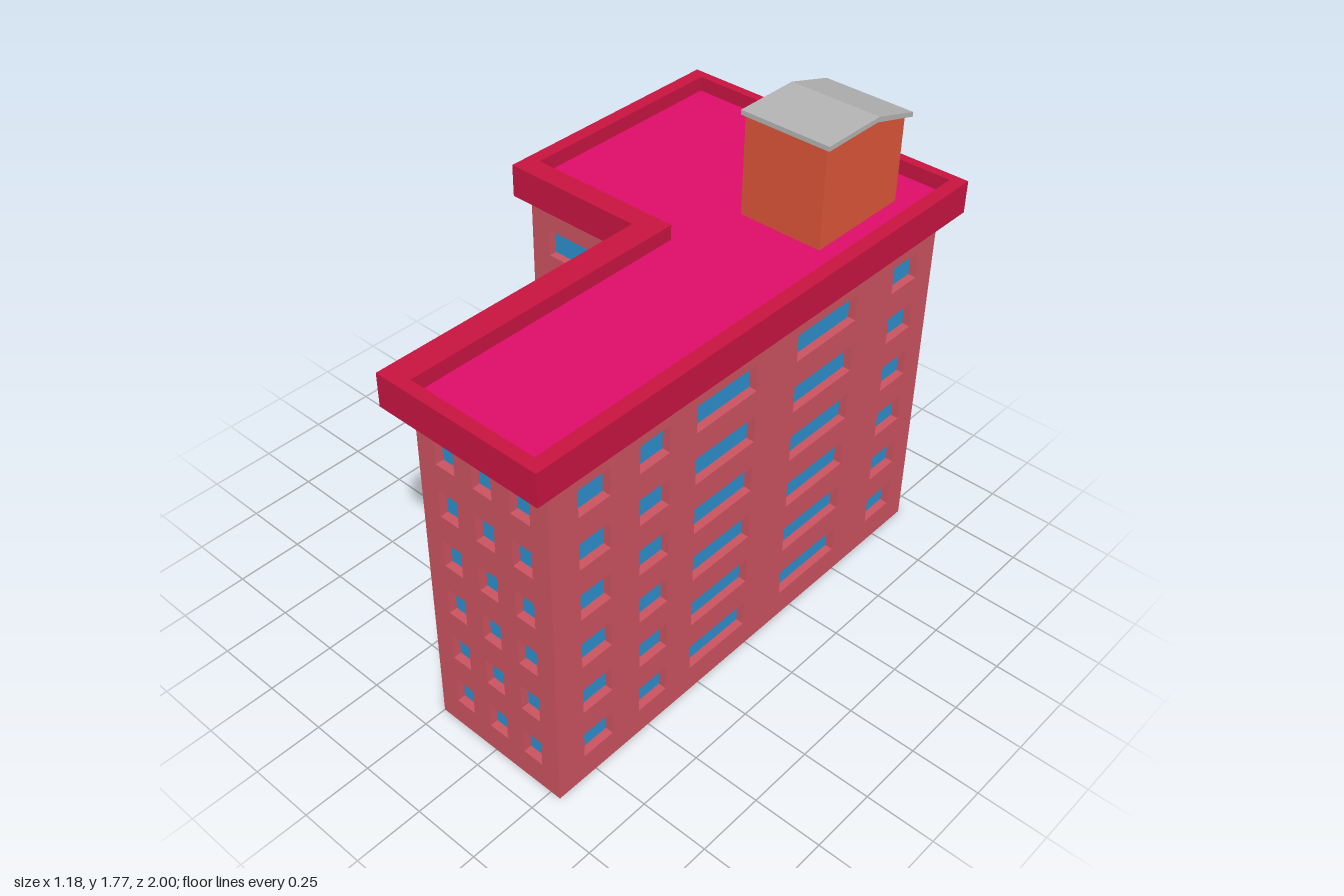
import * as THREE from 'three';

const mat = (color, side = THREE.FrontSide) =>
  new THREE.MeshStandardMaterial({ color, side, flatShading: true });
const brick = mat(0xcb5360), brickBoth = mat(0xcb5360, THREE.DoubleSide);
const glass = mat(0x2c8fcc), trim = mat(0xc81441), roofing = mat(0xde0c69);
const orange = mat(0xdc5538), grey = mat(0xb4b4b4);

const INSET = 0.03, WALL_H = 1.32, ROOF_Y = 1.385;
const X = 0.54, ZB = -0.92, ZF = 0.915, ZN = -0.09; // body extents, ZN = inner corner
const ENTRY = { a: 0.02, b: 0.3, depth: 0.456, h: 0.28 };

const shapeOf = (pts) => new THREE.Shape(pts.map(([x, y]) => new THREE.Vector2(x, y)));
const rect = (a, b, c, d) => [[a, c], [b, c], [b, d], [a, d]];

function add(parent, name, geometry, material, x = 0, y = 0, z = 0) {
  const mesh = new THREE.Mesh(geometry, material);
  mesh.name = name;
  mesh.position.set(x, y, z);
  parent.add(mesh);
  return mesh;
}

const extrude = (shape, depth) => new THREE.ExtrudeGeometry(shape, { depth, bevelEnabled: false });

// L-shaped plan with inner corner (nx, nz), as points (x, -z)
const plan = (x, zb, zf, nx, nz) =>
  [[-x, -zb], [-x, -nz], [nx, -nz], [nx, -zf], [x, -zf], [x, -zb]];
const upward = (shape, h) => extrude(shape, h).rotateX(-Math.PI / 2);
// Profile of (-z, y) points swept along +x
const alongX = (shape, w) => extrude(shape, w).rotateY(Math.PI / 2);

// Wall from a to b with six floors of inset windows in the given columns
function wall(parent, name, a, b, columns, turn, pos, door) {
  const g = new THREE.Group();
  g.name = name;
  const outline = door
    ? [[a, 0], [door.a, 0], [door.a, door.h], [door.b, door.h], [door.b, 0], [b, 0], [b, WALL_H], [a, WALL_H]]
    : rect(a, b, 0, WALL_H);
  const shape = shapeOf(outline);
  for (const [l, r] of columns) {
    for (let floor = 0; floor < 6; floor++) {
      const y = 0.103 + floor * 0.2035, h = 0.103;
      if (door && y < door.h && l < door.b && r > door.a) continue;
      shape.holes.push(new THREE.Path(rect(l, r, y, y + h).map((p) => new THREE.Vector2(...p))));
      add(g, 'windowPane', new THREE.PlaneGeometry(r - l, h), glass, (l + r) / 2, y + h / 2, -INSET);
    }
  }
  add(g, 'wallPanel', extrude(shape, INSET), brick, 0, 0, -INSET);
  g.rotation.y = turn;
  g.position.set(...pos);
  parent.add(g);
}

function entrance(parent) {
  const { a, b, depth, h } = ENTRY, w = b - a, mid = (a + b) / 2;
  for (const z of [a, b])
    add(parent, 'entranceSide', new THREE.PlaneGeometry(depth, h), brickBoth, depth / 2, h / 2, z);
  add(parent, 'entranceBack', new THREE.PlaneGeometry(w, h).rotateY(-Math.PI / 2), brickBoth, depth, h / 2, mid);
  add(parent, 'entranceCeiling', new THREE.PlaneGeometry(depth, w).rotateX(Math.PI / 2), brickBoth, depth / 2, h, mid);
}

function stairHouse() {
  const g = new THREE.Group();
  g.name = 'roofStairHouse';
  const x0 = 0.115, x1 = 0.435, recess = 0.02;
  const profile = [[0.405, ROOF_Y], [0.815, ROOF_Y], [0.815, 1.7], [0.64, 1.75], [0.405, 1.75]];
  add(g, 'stairHouseBody', alongX(shapeOf(profile), x1 - x0 - recess), orange, x0 + recess);
  // Side panel with a doorway cut up from its lower edge
  const side = [profile[0], [0.475, ROOF_Y], [0.475, 1.6], [0.64, 1.6], [0.64, ROOF_Y], ...profile.slice(1)];
  add(g, 'stairHouseDoorSide', alongX(shapeOf(side), recess), orange, x0);
  add(g, 'stairHouseDoor', new THREE.BoxGeometry(0.01, 0.215, 0.165), trim, x0 + recess, 1.4925, -0.5575);
  // Bent cover: flat at the front, sloping to the back
  const cover = [[0.393, 1.75], [0.642, 1.75], [0.838, 1.692], [0.838, 1.709], [0.648, 1.767], [0.393, 1.767]];
  add(g, 'stairHouseCover', alongX(shapeOf(cover), 0.345), grey, 0.105);
  return g;
}

export function createModel() {
  const model = new THREE.Group();
  model.name = 'apartmentBuilding';

  // Window columns along z, shared by the long sides
  const small = [[-0.83, -0.69], [0.415, 0.545], [0.67, 0.8]];
  const wide = [[-0.49, -0.183], [0.015, 0.295]];
  const flip = (cols) => cols.map(([a, b]) => [-b, -a]);

  wall(model, 'wingFrontWall', 0, X, [[0.075, 0.155], [0.23, 0.31], [0.385, 0.465]], 0, [0, 0, ZF]);
  wall(model, 'mainFrontWall', -X, 0, [[-0.46, -0.252]], 0, [0, 0, ZN]);
  wall(model, 'leftWall', -ZF, -ZB, flip([...small, ...wide]), Math.PI / 2, [X, 0, 0]);
  wall(model, 'rightWall', ZB, ZN, [small[0], wide[0]], -Math.PI / 2, [-X, 0, 0]);
  wall(model, 'wingInnerWall', ZN, ZF, [small[1], small[2], wide[1]], -Math.PI / 2, [0, 0, 0], ENTRY);
  wall(model, 'backWall', -X, X, flip([[0.305, 0.465], [-0.09, 0.07], [-0.47, -0.252]]), Math.PI, [0, 0, ZB]);

  // Underside, cut away at the entrance
  const { a, b, depth } = ENTRY;
  const base = plan(X, ZB, ZF, 0, ZN);
  base.splice(3, 0, [0, -a], [depth, -a], [depth, -b], [0, -b]);
  add(model, 'underside', new THREE.ShapeGeometry(shapeOf(base)).rotateX(-Math.PI / 2), brickBoth);
  entrance(model);

  // Overhanging parapet around a sunken roof
  const inner = plan(X, -0.965, 0.955, 0.05, -0.135);
  const rim = shapeOf(plan(0.59, -1, 1, -0.045, -0.055));
  rim.holes.push(new THREE.Path(inner.map((p) => new THREE.Vector2(...p))));
  add(model, 'parapet', upward(rim, 0.12), trim, 0, WALL_H);
  add(model, 'roof', upward(shapeOf(inner), ROOF_Y - WALL_H), roofing, 0, WALL_H);

  model.add(stairHouse());
  return model;
}
